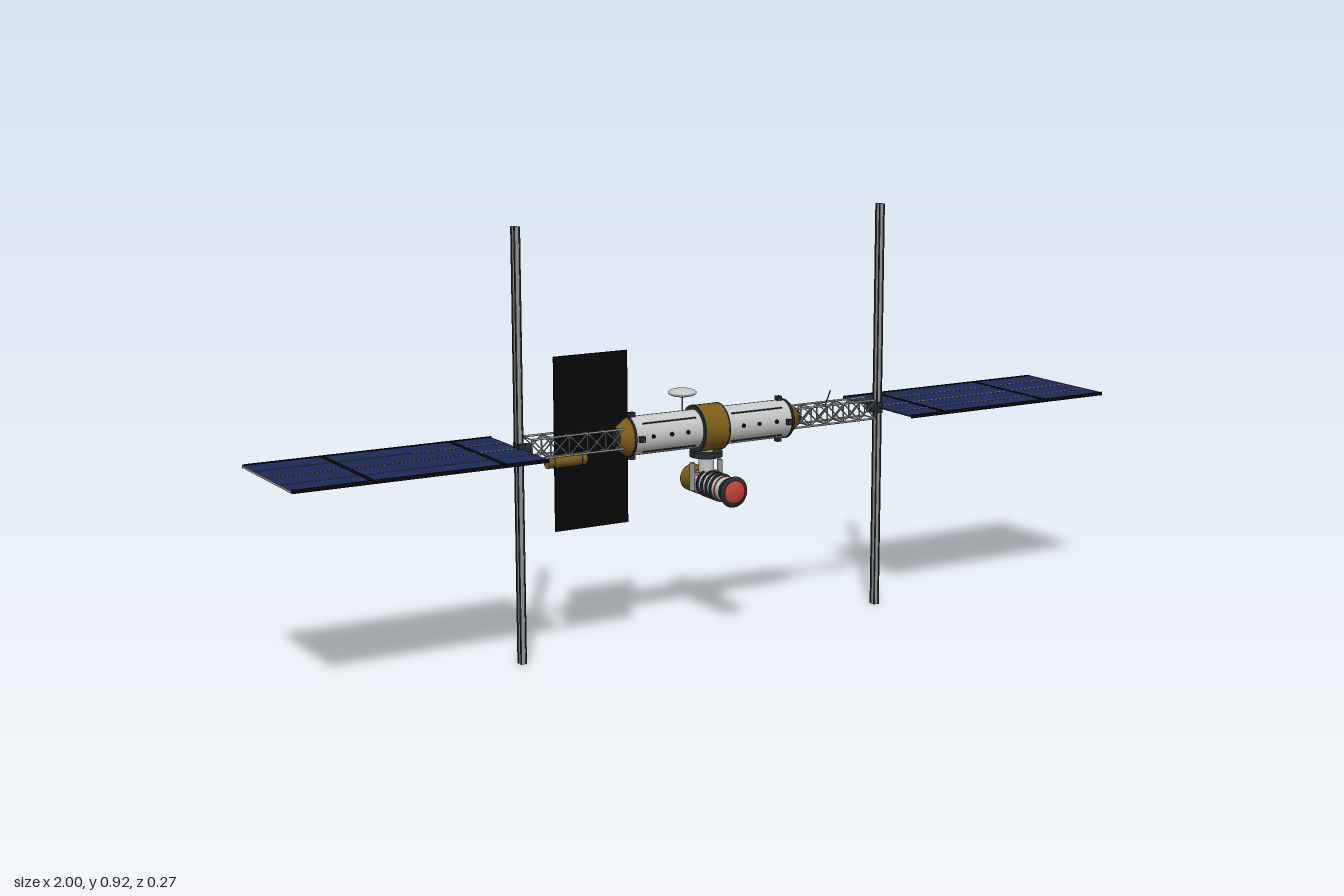
import * as THREE from 'three';
import { mergeGeometries } from 'three/addons/utils/BufferGeometryUtils.js';

const Y = 0.461; // height of the main axis

function createModel() {
  const root = new THREE.Group();
  root.name = 'spaceStation';
  const mat = (name, color, side = THREE.FrontSide) => {
    const m = new THREE.MeshStandardMaterial({ color, side });
    m.name = name;
    return m;
  };
  const white = mat('hullWhite', 0xc4c6c8, THREE.DoubleSide);
  const gold = mat('goldFoil', 0x7c5c1a);
  const dark = mat('darkMetal', 0x2a2b2d);
  const grey = mat('grey', 0x929496);
  const navy = mat('solarBlue', 0x1c2a5a);
  const black = mat('radiatorBlack', 0x070707);
  const khaki = mat('khakiSeam', 0x746a48);
  const red = mat('red', 0xc4423c);

  const add = (name, geo, material, x = 0, y = 0, z = 0, parent = root) => {
    const m = new THREE.Mesh(geo, material);
    m.name = name;
    m.position.set(x, y, z);
    parent.add(m);
    return m;
  };
  const box = (w, h, d) => new THREE.BoxGeometry(w, h, d);
  const cyl = (r0, r1, len, seg = 32) => new THREE.CylinderGeometry(r1, r0, len, seg);
  const alongX = (r0, r1, len, seg) => cyl(r0, r1, len, seg).rotateZ(-Math.PI / 2);
  const alongZ = (r0, r1, len, seg) => cyl(r0, r1, len, seg).rotateX(Math.PI / 2);
  const rod = (a, b, r) => {
    const d = new THREE.Vector3().subVectors(b, a);
    const g = new THREE.CylinderGeometry(r, r, d.length(), 6);
    g.applyQuaternion(new THREE.Quaternion().setFromUnitVectors(new THREE.Vector3(0, 1, 0), d.normalize()));
    const c = a.clone().add(b).multiplyScalar(0.5);
    return g.translate(c.x, c.y, c.z);
  };
  const V = (x, y, z) => new THREE.Vector3(x, y, z);

  // Pressurised core module
  const core = new THREE.Group();
  core.name = 'coreModule';
  core.position.y = Y;
  root.add(core);
  add('hull', alongX(0.042, 0.042, 0.4), white, 0, 0, 0, core);
  add('centreBand', alongX(0.051, 0.051, 0.06), gold, 0, 0, 0, core);
  for (const s of [-1, 1]) {
    add('bandRim', alongX(0.0515, 0.0515, 0.003), dark, s * 0.03, 0, 0, core);
    add('endRing', alongX(0.044, 0.044, 0.005), dark, s * 0.197, 0, 0, core);
    const cone = s > 0 ? alongX(0.042, 0.024, 0.025) : alongX(0.024, 0.042, 0.025);
    add('endCone', cone, gold, s * 0.2125, 0, 0, core);
    add('dockingCollar', alongX(0.02, 0.02, 0.012), dark, s * 0.226, 0, 0, core);
    for (let i = 0; i < 4; i++) {
      const a = i * Math.PI / 2, b = a + Math.PI / 4;
      add('clamp', box(0.012, 0.012, 0.012), dark, s * 0.185, Math.cos(a) * 0.045, Math.sin(a) * 0.045, core);
      add('handrail', box(0.13, 0.0025, 0.0025), dark, s * 0.11, Math.cos(b) * 0.043, Math.sin(b) * 0.043, core);
    }
    // Portholes on both flanks
    for (const z of [-1, 1])
      for (const x of [0.07, 0.11, 0.155])
        add('porthole', alongZ(0.0045, 0.0045, 0.004, 16), black, s * x, 0.003, z * 0.042, core);
  }

  // Lattice truss, solar wing and vertical mast on each side
  for (const s of [-1, 1]) {
    const side = new THREE.Group();
    side.name = s > 0 ? 'leftBoom' : 'rightBoom';
    side.position.y = Y;
    root.add(side);
    const rods = [], h = 0.021, x0 = 0.215, x1 = 0.432, bays = 5;
    const corners = [[h, h], [h, -h], [-h, -h], [-h, h]];
    corners.forEach(([y, z], k) => {
      const [y2, z2] = corners[(k + 1) % 4];
      rods.push(rod(V(s * x0, y, z), V(s * x1, y, z), 0.0024));
      for (let i = 0; i <= bays; i++) {
        const xa = s * (x0 + (x1 - x0) * i / bays), xb = s * (x0 + (x1 - x0) * (i + 1) / bays);
        rods.push(rod(V(xa, y, z), V(xa, y2, z2), 0.0016));
        // Cross braces on the front and back faces only
        if (i === bays || y === y2) continue;
        rods.push(rod(V(xa, y, z), V(xb, y2, z2), 0.0015));
        rods.push(rod(V(xa, y2, z2), V(xb, y, z), 0.0015));
      }
    });
    add('truss', mergeGeometries(rods), grey, 0, 0, 0, side);
    add('rotaryJoint', alongX(0.011, 0.011, 0.03, 16), dark, s * 0.442, 0, 0, side);
    add('jointBlock', box(0.016, 0.024, 0.026), dark, s * 0.45, 0, 0, side);

    // Solar wing with black long edges and a grey end strip
    add('solarWing', box(0.549, 0.003, 0.268), navy, s * 0.7245, 0, 0, side);
    for (const z of [-0.07, 0, 0.07])
      add('wingSeam', box(0.548, 0.0042, z ? 0.005 : 0.007), khaki, s * 0.7245, 0, z, side);
    for (const x of [0.545, 0.83])
      add('wingCrossbar', box(0.01, 0.0046, 0.268), black, s * x, 0, 0, side);
    for (const z of [-0.1335, 0.1335])
      add('wingEdge', box(0.548, 0.008, 0.002), black, s * 0.7245, 0, z, side);
    add('wingEnd', box(0.001, 0.0048, 0.266), grey, s * 0.9995, 0, 0, side);

    // Vertical mast: recessed core between four corner rails
    add('mast', box(0.01, 0.922, 0.013), grey, s * 0.452, 0, 0, side);
    for (const x of [-1, 1])
      for (const z of [-1, 1])
        add('mastRail', box(0.0026, 0.922, 0.003), dark, s * 0.452 + x * 0.0057, 0, z * 0.007, side);
  }

  // Radiator and the tank beneath the truss
  add('radiator', box(0.174, 0.372, 0.004), black, -0.2825, Y, 0);
  add('tank', alongX(0.014, 0.014, 0.09, 20), gold, -0.343, 0.426, 0);
  for (const x of [-0.375, -0.31])
    add('tankStrap', alongX(0.0145, 0.0145, 0.003, 20), dark, x, 0.426, 0);

  // Dish antenna
  add('dishMast', cyl(0.002, 0.002, 0.05, 8), grey, -0.06, 0.518, 0);
  add('dish', new THREE.SphereGeometry(0.031, 28, 14).scale(1, 0.3, 1), white, -0.06, 0.543, 0);

  // Whip antennas
  for (const s of [-1, 1])
    add('whipAntenna', rod(V(s * 0.295, 0.482, s * 0.021), V(s * 0.295, 0.52, s * 0.042), 0.0014), dark);

  // Docking neck under the core
  add('neck', cyl(0.017, 0.017, 0.08, 24), white, 0, 0.39, 0);
  add('neckFlange', cyl(0.036, 0.036, 0.012, 28), dark, 0, 0.403, 0);
  for (const s of [-1, 1])
    add('sidePod', cyl(0.006, 0.006, 0.062, 16), grey, s * 0.035, 0.355, 0);
  add('podStrut', box(0.07, 0.006, 0.008), grey, 0, 0.36, 0);

  // Docked capsule, pointing forward
  const capsule = new THREE.Group();
  capsule.name = 'dockedCapsule';
  capsule.position.y = 0.339;
  root.add(capsule);
  add('capsuleBody', alongZ(0.027, 0.027, 0.11), white, 0, 0, 0.04, capsule);
  add('capsuleTail', alongZ(0.03, 0.03, 0.045), gold, 0, 0, -0.0385, capsule);
  for (const z of [0.01, 0.028, 0.046, 0.063])
    add('capsuleRing', alongZ(0.031, 0.031, 0.005), dark, 0, 0, z, capsule);
  add('redRing', alongZ(0.0285, 0.0285, 0.004), red, 0, 0, 0.078, capsule);
  add('noseFlare', alongZ(0.027, 0.034, 0.02), dark, 0, 0, 0.104, capsule);
  add('noseTaper', alongZ(0.034, 0.027, 0.004), dark, 0, 0, 0.116, capsule);
  add('noseCap', new THREE.SphereGeometry(0.025, 28, 14).scale(1, 1, 0.34), red, 0, 0, 0.117, capsule);
  return root;
}

export { createModel };
